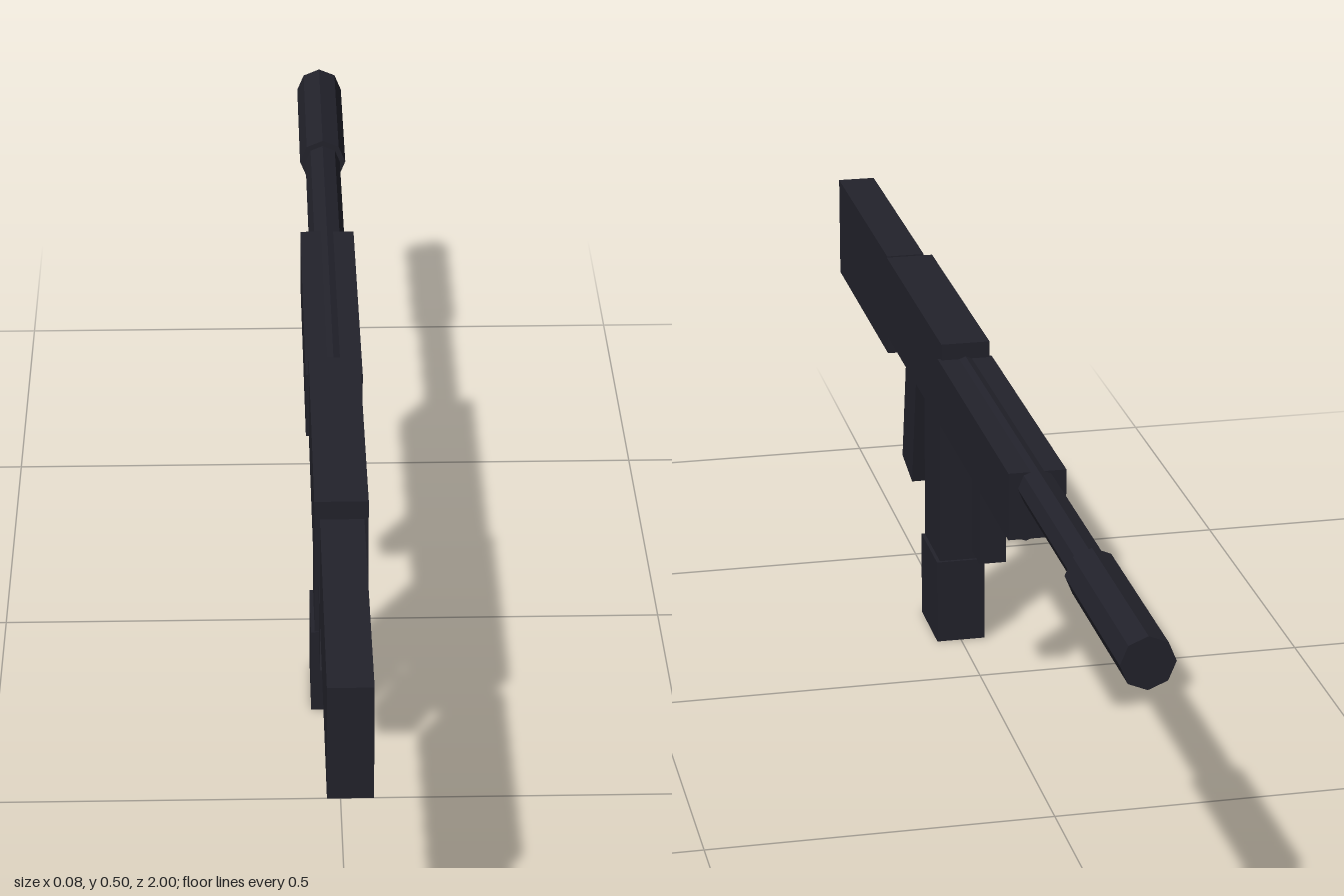
import * as THREE from 'three';

export function createModel() {
  const model = new THREE.Group();
  const gunmetal = new THREE.MeshStandardMaterial({ color: 0x22222b, flatShading: true });
  gunmetal.name = 'gunmetal';

  const add = (name, geometry) => {
    const mesh = new THREE.Mesh(geometry, gunmetal);
    mesh.name = name;
    model.add(mesh);
    return mesh;
  };

  // Box centred on x, spanning y0..y1 and z0..z1
  const block = (name, width, y0, y1, z0, z1) =>
    add(name, new THREE.BoxGeometry(width, y1 - y0, z1 - z0))
      .position.set(0, (y0 + y1) / 2, (z0 + z1) / 2);

  // Eight-sided rod lying along z
  const rod = (name, radius, y, z0, z1) =>
    add(name, new THREE.CylinderGeometry(radius, radius, z1 - z0, 8).rotateX(Math.PI / 2))
      .position.set(0, y, (z0 + z1) / 2);

  // Body
  block('stock', 0.06, 0.328, 0.493, 0.568, 1);
  block('receiver', 0.074, 0.369, 0.502, 0.103, 0.535);
  block('handguard', 0.083, 0.377, 0.477, -0.38, 0.11);

  // Magazine with its wider foot
  block('magazine', 0.064, 0.12, 0.38, 0.145, 0.26);
  block('magazineFoot', 0.075, 0, 0.133, 0.14, 0.262);

  // Grips
  block('foregrip', 0.04, 0.222, 0.37, -0.09, -0.04);
  const grip = add('rearGrip', new THREE.BoxGeometry(0.056, 0.22, 0.08));
  grip.position.set(0, 0.29, 0.401);
  grip.rotation.x = -0.2;

  // Barrel assembly
  rod('barrel', 0.028, 0.453, -0.72, 0.11);
  rod('muzzle', 0.037, 0.453, -1, -0.7);
  rod('underRod', 0.03, 0.375, -0.31, -0.155);

  return model;
}
